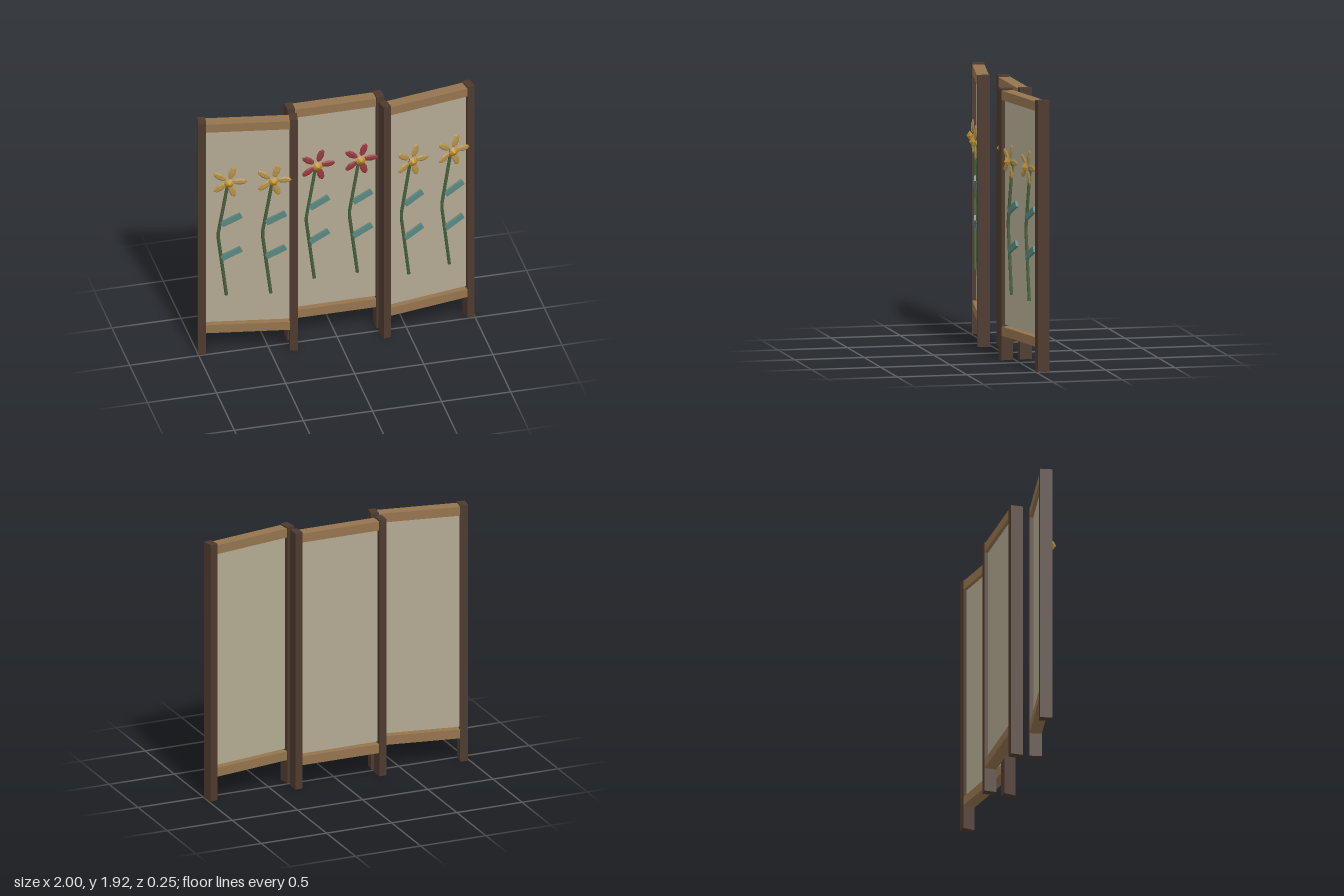
import * as THREE from 'three';

const mat = (color, extra = {}) => new THREE.MeshStandardMaterial({ color, ...extra });

export function createModel() {
  const model = new THREE.Group();
  model.name = 'foldingScreen';

  const mats = {
    post: mat(0x4e3a2e),
    rail: mat(0x94744e),
    cloth: mat(0xb3aa92, { side: THREE.DoubleSide }),
    stem: mat(0x46603f),
    leaf: mat(0x5a8880),
    gold: mat(0xb5924c, { flatShading: true }),
    red: mat(0x96393c, { flatShading: true }),
    head: mat(0xc2922c, { flatShading: true }),
  };

  function add(parent, name, geometry, material, x = 0, y = 0, z = 0) {
    const mesh = new THREE.Mesh(geometry, material);
    mesh.name = name;
    mesh.position.set(x, y, z);
    parent.add(mesh);
    return mesh;
  }

  // Shared geometries
  const postGeo = new THREE.BoxGeometry(0.056, 1.92, 0.088);
  const railGeo = new THREE.BoxGeometry(0.69, 0.066, 0.086);
  const clothGeo = new THREE.BoxGeometry(0.6, 1.6, 0.035);
  const leafGeo = new THREE.BoxGeometry(0.152, 0.042, 0.02);
  const headGeo = new THREE.SphereGeometry(0.035, 8, 2).rotateX(Math.PI / 2).scale(1, 1, 0.7);
  // Pointed petal lying along +x, starting at the flower centre
  const petalGeo = new THREE.SphereGeometry(1, 6, 4)
    .rotateZ(-Math.PI / 2)
    .scale(0.053, 0.026, 0.009)
    .translate(0.078, 0, 0);

  // Stem with a bend, made of two straight runs
  const bend = new THREE.CurvePath();
  const pts = [[0.005, 0.48], [-0.055, 0.98], [0.02, 1.43]].map(([x, y]) => new THREE.Vector3(x, y, 0.03));
  const stemParts = [0, 1].map((i) => {
    const run = new THREE.LineCurve3(pts[i], pts[i + 1]);
    bend.add(run);
    return run;
  });
  const stemGeo = new THREE.TubeGeometry(bend, 24, 0.012, 8, false);
  const capGeo = new THREE.CircleGeometry(0.012, 8).rotateX(Math.PI / 2);

  function makeFlower(petalMat) {
    const flower = new THREE.Group();
    flower.name = 'flower';
    add(flower, 'stem', stemGeo, mats.stem);
    const start = stemParts[0].v1;
    add(flower, 'stemEnd', capGeo, mats.stem, start.x, start.y, start.z);
    for (const y of [0.825, 1.105]) {
      add(flower, 'leaf', leafGeo, mats.leaf, 0.04, y, 0.035).rotation.z = 0.48;
    }
    for (let i = 0; i < 5; i++) {
      add(flower, 'petal', petalGeo, petalMat, 0.02, 1.43, 0.05).rotation.z = (i * Math.PI * 2) / 5;
    }
    add(flower, 'flowerCentre', headGeo, mats.head, 0.02, 1.43, 0.07);
    return flower;
  }

  function makePanel(name, petalMat) {
    const panel = new THREE.Group();
    panel.name = name;
    for (const s of [-1, 1]) {
      add(panel, 'post', postGeo, mats.post, s * 0.322, 0.96, 0);
      const flower = makeFlower(petalMat);
      flower.position.x = s * 0.156;
      panel.add(flower);
    }
    add(panel, 'topRail', railGeo, mats.rail, 0, 1.876, 0);
    add(panel, 'bottomRail', railGeo, mats.rail, 0, 0.207, 0);
    add(panel, 'cloth', clothGeo, mats.cloth, 0, 1.052, 0);
    model.add(panel);
    return panel;
  }

  // Three panels, the outer two angled
  makePanel('centrePanel', mats.red).position.z = -0.082;
  for (const s of [-1, 1]) {
    const panel = makePanel(s > 0 ? 'leftPanel' : 'rightPanel', mats.gold);
    panel.position.set(s * 0.648, 0, 0.003);
    panel.rotation.y = s * THREE.MathUtils.degToRad(10);
  }
  return model;
}
